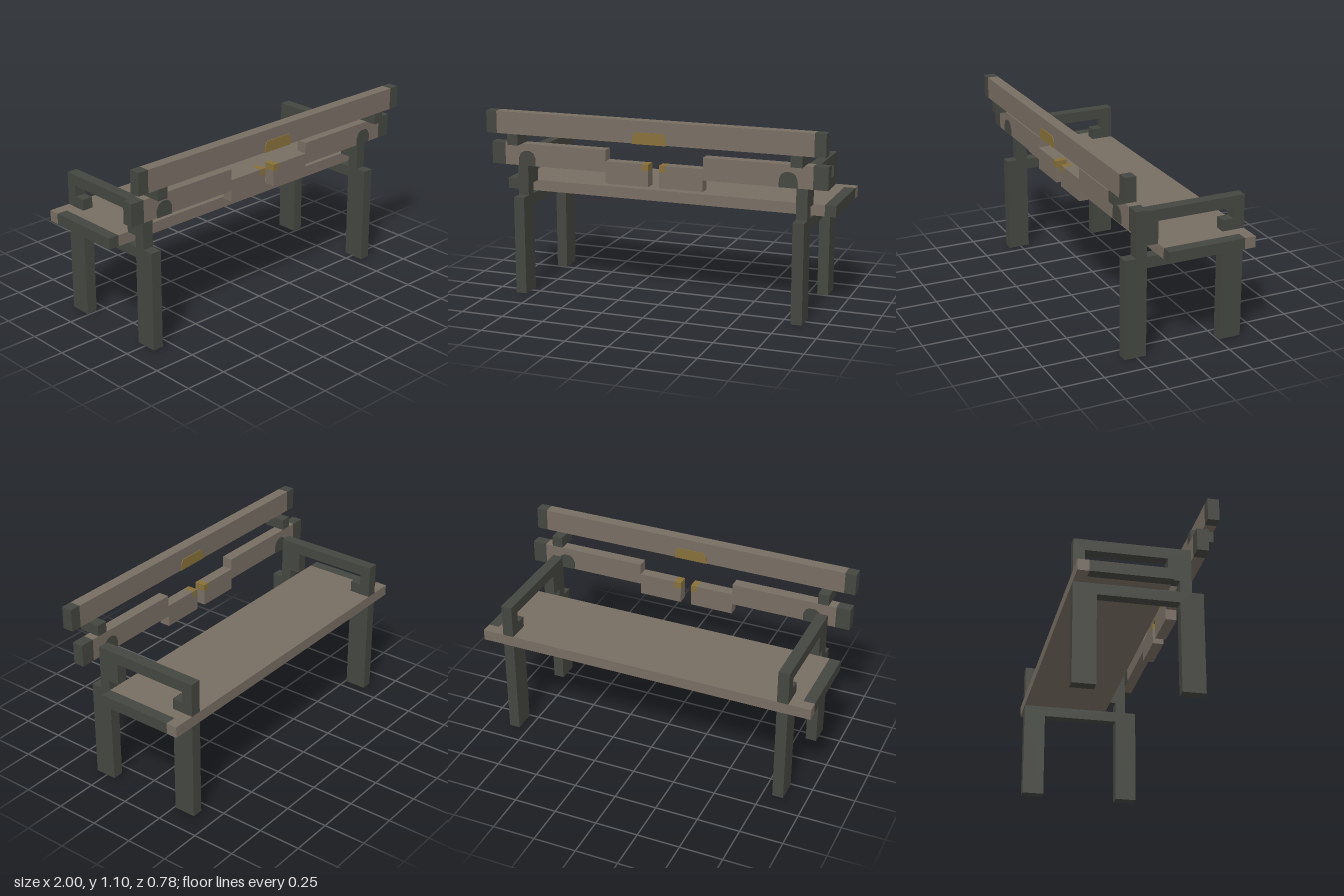
import * as THREE from 'three';

const U = 2 / 31; // grid step: the bench is 31 steps wide

export function createModel() {
  const mat = (name, color) => {
    const m = new THREE.MeshStandardMaterial({ color });
    m.name = name;
    return m;
  };
  const wood = mat('weathered wood', 0x786e63);
  const iron = mat('dark iron', 0x444640);
  const gold = mat('dull gold', 0x87703a);

  const bench = new THREE.Group();
  bench.name = 'bench';

  const add = (name, geometry, material) => {
    const mesh = new THREE.Mesh(geometry, material);
    mesh.name = name;
    bench.add(mesh);
    return mesh;
  };
  // Box from minimum to maximum corners, in grid steps
  const box = (name, material, x0, x1, y0, y1, z0, z1) => {
    const g = new THREE.BoxGeometry((x1 - x0) * U, (y1 - y0) * U, (z1 - z0) * U);
    g.translate((x0 + x1) / 2 * U, (y0 + y1) / 2 * U, (z0 + z1) / 2 * U);
    return add(name, g, material);
  };
  // The same box on the left (+x) and right (-x)
  const pair = (name, material, x0, x1, ...rest) => {
    box(name + 'Left', material, x0, x1, ...rest);
    box(name + 'Right', material, -x1, -x0, ...rest);
  };
  const polygon = (points) =>
    new THREE.Shape(points.map(([a, b]) => new THREE.Vector2(a * U, b * U)));
  // Thin painted plates on both broad faces of a slat
  const paint = (name, material, shape, z0, z1) => {
    const t = 0.004;
    for (const z of [z0 * U - t, z1 * U]) {
      const g = new THREE.ExtrudeGeometry(shape, { depth: t, bevelEnabled: false });
      add(name, g.translate(0, 0, z), material);
    }
  };

  // Side frames: legs, rail, rear post and curled armrest in one outline (z, y)
  const outline = polygon([
    [-6, 0], [-4, 0], [-4, 8], [3, 8], [3, 0], [5, 0], [5, 9], [4, 9], [4, 13], [-6, 13],
    [-6, 10], [-4, 10], [-4, 11], [-5, 11], [-5, 12], [2, 12], [2, 10], [3, 10], [3, 9], [-6, 9],
  ]);
  for (const [side, x] of [['Left', 13.5], ['Right', -12.5]]) {
    const g = new THREE.ExtrudeGeometry(outline, { depth: U, bevelEnabled: false });
    g.rotateY(-Math.PI / 2).translate(x * U, 0, 0);
    add('sideFrame' + side, g, iron);
  }
  pair('backBracket', iron, 12.5, 13.5, 14, 15, 4, 6);

  // Seat board with dark end strips
  box('seat', wood, -14.5, 14.5, 9, 10, -6, 2);
  pair('seatCorner', wood, 14.5, 15.5, 9, 10, -6, -5);
  pair('seatEnd', iron, 14.5, 15.5, 9, 10, -5, 2);

  // Top back slat
  box('topSlat', wood, -14.5, 14.5, 15, 17, 5, 6);
  pair('topSlatEnd', iron, 14.5, 15.5, 15, 17, 5, 6);
  const emblem = polygon([
    [-1.6, 15], [1.5, 15], [1.5, 15.6], [1.25, 16], [-1.3, 16], [-1.55, 15.6],
  ]);
  paint('goldPatch', gold, emblem, 5, 6);
  box('goldPatchUnder', gold, -1.6, 1.5, 14.95, 15, 5, 6);

  // Lower back slat, stepped down and split in the middle
  pair('lowerSlat', wood, 4.5, 14.2, 12, 14, 4, 5);
  pair('lowerSlatEnd', iron, 14.2, 15.5, 12, 14, 4, 5);
  pair('lowerSlatStep', wood, 1.1, 4.5, 11, 13, 4, 5);
  pair('lowerSlatTip', wood, 0.5, 1.1, 11, 12.4, 4, 5);
  pair('goldTip', gold, 0.5, 1.1, 12.4, 13, 4, 5);

  // Dark arched patches where the posts meet the lower slat
  for (const s of [1, -1]) {
    const arch = polygon([
      [11.25, 12], [12.85, 12], [12.85, 12.7], [12.65, 13.15], [12.3, 13.35],
      [11.8, 13.35], [11.45, 13.15], [11.25, 12.7],
    ].map(([x, y]) => [s * x, y]));
    paint('archPatch', iron, arch, 4, 5);
  }
  return bench;
}
